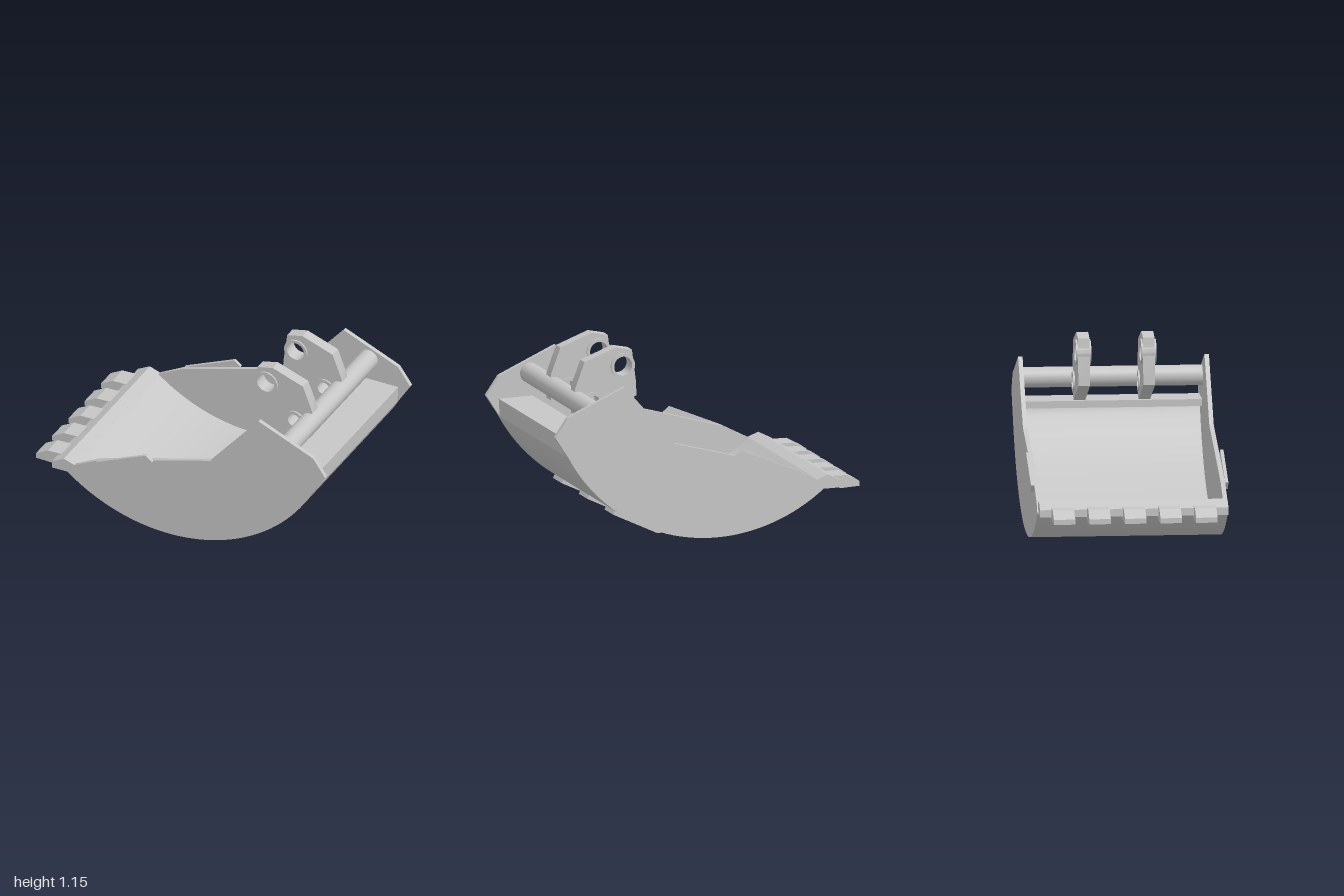
import * as THREE from 'three';
import { toCreasedNormals } from 'three/addons/utils/BufferGeometryUtils.js';

const CX = -0.055, CY = 1.1, R = 1.1;           // centre and radius of the rounded bottom
const A0 = Math.atan2(-0.857, -0.69);           // arc start, at the lip
const A1 = Math.atan2(-0.521, 0.969);           // arc end, at the back
const HALF = 0.577, PLATE = 0.027;              // half width, side plate thickness
const SHELL = 0.07;                             // shell thickness

export function createModel() {
  const model = new THREE.Group();
  model.name = 'excavatorBucket';
  const steel = new THREE.MeshStandardMaterial({ color: 0xc6c6c6 });
  steel.name = 'greySteel';

  const polygon = (pts) => new THREE.Shape(pts.map(([x, y]) => new THREE.Vector2(x, y)));
  const circle = (x, y, r) => new THREE.Path().absarc(x, y, r, 0, Math.PI * 2, true);

  // extrude a side profile between two z values
  function addProfile(name, shape, z0, z1) {
    let geo = new THREE.ExtrudeGeometry(shape, { depth: z1 - z0, bevelEnabled: false, curveSegments: 24 });
    geo = toCreasedNormals(geo, 0.45);
    geo.translate(0, 0, z0);
    const mesh = new THREE.Mesh(geo, steel);
    mesh.name = name;
    model.add(mesh);
  }

  // curved shell with an upright back edge and a level flange under the tube
  const shell = new THREE.Shape();
  shell.absarc(CX, CY, R, A0, A1, false);
  shell.lineTo(0.92, 0.688);
  shell.lineTo(0.7, 0.688);
  shell.lineTo(0.7, 0.645);
  shell.lineTo(0.86, 0.645);
  shell.absarc(CX, CY, R - SHELL, A1, A0, true);
  addProfile('shell', shell, -HALF + PLATE, HALF - PLATE);

  // side plates
  const side = new THREE.Shape();
  side.absarc(CX, CY, R, A0, A1, false);
  [[1, 0.714], [0.918, 0.83], [0.55, 0.988], [0.224, 0.607], [-0.16, 0.496], [-0.54, 0.382], [-0.7, 0.297]]
    .forEach(([x, y]) => side.lineTo(x, y));

  // bolt-on side cutters
  const cutter = polygon([[-0.5, 0.334], [-0.16, 0.495], [-0.203, 0.528], [-0.54, 0.382]]);

  // hitch ear with two pin holes
  const pins = [[0.428, 1.03, 0.077, 0.058], [0.62, 0.82, 0.062, 0.042]];
  const ear = polygon([[0.337, 0.838], [0.4, 0.81], [0.66, 0.7], [0.735, 0.75], [0.735, 0.915],
    [0.674, 1.074], [0.47, 1.147], [0.367, 1.124], [0.342, 0.933]]);
  pins.forEach(([x, y, , hole]) => ear.holes.push(circle(x, y, hole)));

  for (const s of [-1, 1]) {
    const tag = s > 0 ? 'Front' : 'Back';
    const span = (a, b) => (s > 0 ? [a, b] : [-b, -a]);
    addProfile('sidePlate' + tag, side, ...span(HALF - PLATE, HALF));
    addProfile('sideCutter' + tag, cutter, ...span(HALF, 0.597));
    addProfile('hitchEar' + tag, ear, ...span(0.161, 0.232));
    // raised pin bushings
    pins.forEach(([x, y, r, hole], i) => {
      const ring = new THREE.Shape().absarc(x, y, r, 0, Math.PI * 2, false);
      ring.holes.push(circle(x, y, hole));
      addProfile((i ? 'lowerBushing' : 'upperBushing') + tag, ring, ...span(0.151, 0.243));
    });
  }

  // cross tube
  const tube = new THREE.Mesh(new THREE.CylinderGeometry(0.062, 0.062, 2 * (HALF - PLATE), 40), steel);
  tube.name = 'crossTube';
  tube.rotation.x = Math.PI / 2;
  tube.position.set(0.72, 0.833, 0);
  model.add(tube);

  // cutting lip
  const lip = polygon([[-0.85, 0.235], [-0.745, 0.236], [-0.7, 0.297], [-0.77, 0.322], [-0.85, 0.28]]);
  addProfile('cuttingLip', lip, -0.57, 0.57);

  // teeth
  const tooth = polygon([[-1, 0.214], [-0.89, 0.211], [-0.75, 0.233], [-0.82, 0.292], [-0.92, 0.289], [-1, 0.245]]);
  for (let i = -2; i <= 2; i++) {
    const z = -0.005 + i * 0.215;
    addProfile('tooth' + (i + 3), tooth, z - 0.065, z + 0.065);
  }

  // wear pads under the shell
  const pad = polygon([[0.2, 0.034], [0.31, 0.041], [0.592, 0.18], [0.578, 0.206], [0.4, 0.105]]);
  for (let i = -1; i <= 1; i++) addProfile('wearPad' + (i + 2), pad, i * 0.42 - 0.071, i * 0.42 + 0.071);

  return model;
}
